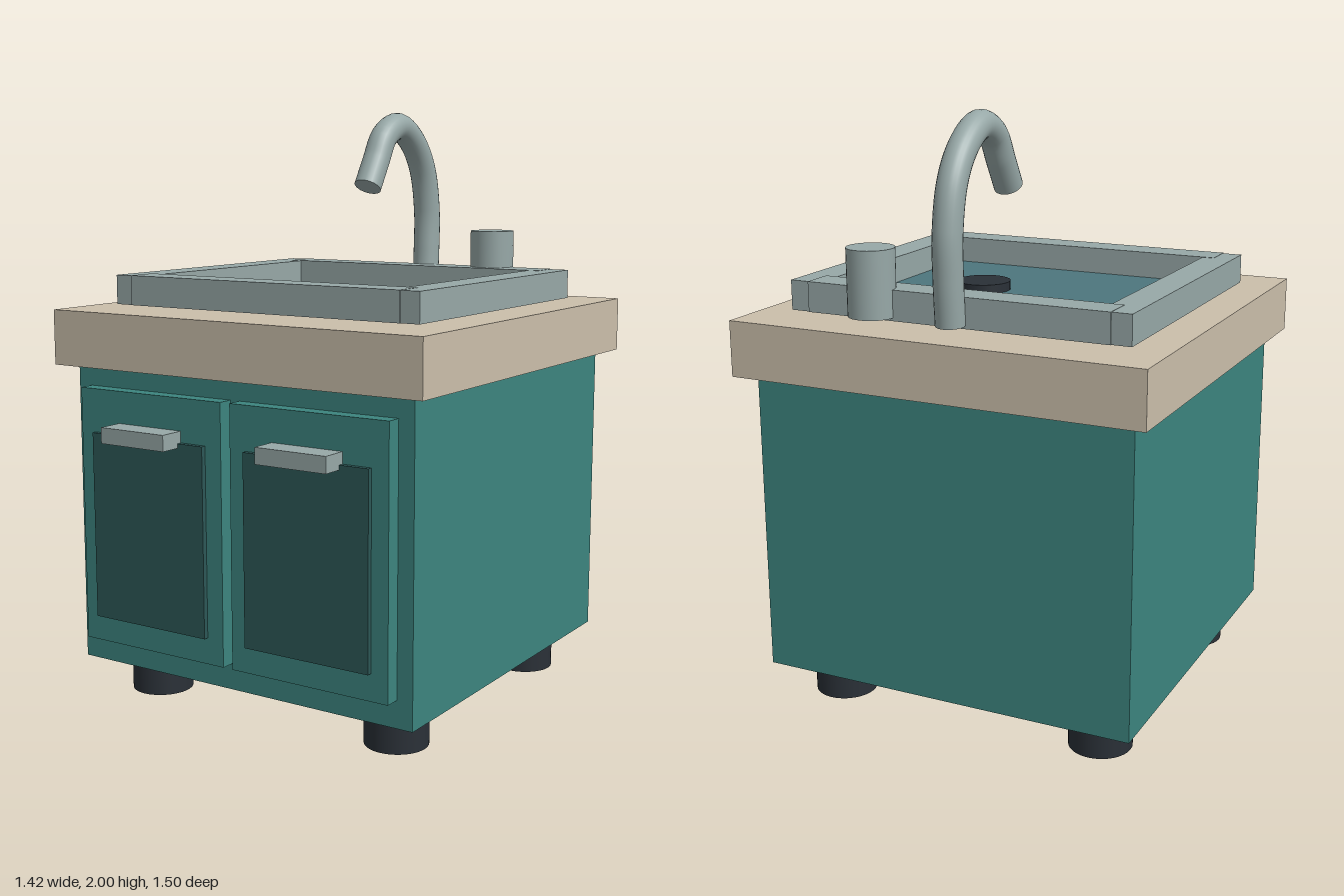
import * as THREE from 'three';

const material = (name, color) => {
  const m = new THREE.MeshStandardMaterial({ color });
  m.name = name;
  return m;
};

export function createModel() {
  const teal = material('teal cabinet', 0x3c857f);
  const darkTeal = material('dark teal panel', 0x2d5857);
  const stone = material('beige worktop', 0xcbbfab);
  const metal = material('grey metal', 0x97a8a7);
  const basinBlue = material('blue basin', 0x4d767e);
  const black = material('charcoal', 0x2a3037);

  const model = new THREE.Group();
  model.name = 'sinkCabinet';

  const add = (name, geometry, mat) => {
    const mesh = new THREE.Mesh(geometry, mat);
    mesh.name = name;
    model.add(mesh);
    return mesh;
  };
  // Box given by its limits on each axis
  const box = (name, mat, [x0, x1], [y0, y1], [z0, z1]) =>
    add(name, new THREE.BoxGeometry(x1 - x0, y1 - y0, z1 - z0), mat)
      .position.set((x0 + x1) / 2, (y0 + y1) / 2, (z0 + z1) / 2);
  // Upright cylinder given by its centre, radius and height limits
  const cylinder = (name, mat, x, z, r, y0, y1) =>
    add(name, new THREE.CylinderGeometry(r, r, y1 - y0, 32), mat)
      .position.set(x, (y0 + y1) / 2, z);

  // Cabinet and worktop
  box('cabinet', teal, [-0.653, 0.653], [0.135, 1.155], [-0.688, 0.607]);
  box('worktop', stone, [-0.71, 0.71], [1.155, 1.34], [-0.748, 0.663]);

  // Doors with recess panels and handles, and the feet
  for (const [side, s] of [['left', 1], ['right', -1]]) {
    const span = (a, b) => (s > 0 ? [a, b] : [-b, -a]);
    box(side + 'Door', teal, span(0.018, 0.598), [0.225, 1.087], [0.6, 0.66]);
    box(side + 'DoorPanel', darkTeal, span(0.08, 0.538), [0.313, 0.942], [0.65, 0.677]);
    box(side + 'Handle', metal, span(0.178, 0.436), [0.927, 0.98], [0.655, 0.748]);
    cylinder(side + 'FrontFoot', black, s * 0.48, 0.41, 0.105, 0, 0.14);
    cylinder(side + 'BackFoot', black, s * 0.48, -0.495, 0.105, 0, 0.14);
  }

  // Basin floor and the four bars of its raised rim
  box('basin', basinBlue, [-0.516, 0.516], [1.33, 1.36], [-0.483, 0.398]);
  box('rimFront', metal, [-0.525, 0.525], [1.35, 1.45], [0.375, 0.484]);
  box('rimBack', metal, [-0.525, 0.525], [1.35, 1.45], [-0.572, -0.463]);
  box('rimLeft', metal, [0.484, 0.592], [1.35, 1.449], [-0.567, 0.479]);
  box('rimRight', metal, [-0.592, -0.484], [1.35, 1.449], [-0.567, 0.479]);
  cylinder('drain', black, 0.158, -0.045, 0.091, 1.35, 1.39);

  // Knob beside the tap
  cylinder('knob', metal, 0.289, -0.568, 0.078, 1.36, 1.58);

  // Curved tap with closed ends
  const path = new THREE.CatmullRomCurve3([
    [1.36, -0.585], [1.5, -0.594], [1.65, -0.594], [1.8, -0.558], [1.9, -0.482],
    [1.952, -0.377], [1.915, -0.285], [1.83, -0.23], [1.74, -0.175],
  ].map(([y, z]) => new THREE.Vector3(0, y, z)));
  const r = 0.048;
  add('tap', new THREE.TubeGeometry(path, 48, r, 24), metal);
  for (const [name, t, sign] of [['tapBaseCap', 0, -1], ['tapSpoutCap', 1, 1]]) {
    const cap = add(name, new THREE.CircleGeometry(r, 24), metal);
    cap.position.copy(path.getPointAt(t));
    cap.quaternion.setFromUnitVectors(
      new THREE.Vector3(0, 0, 1), path.getTangentAt(t).multiplyScalar(sign));
  }

  return model;
}
